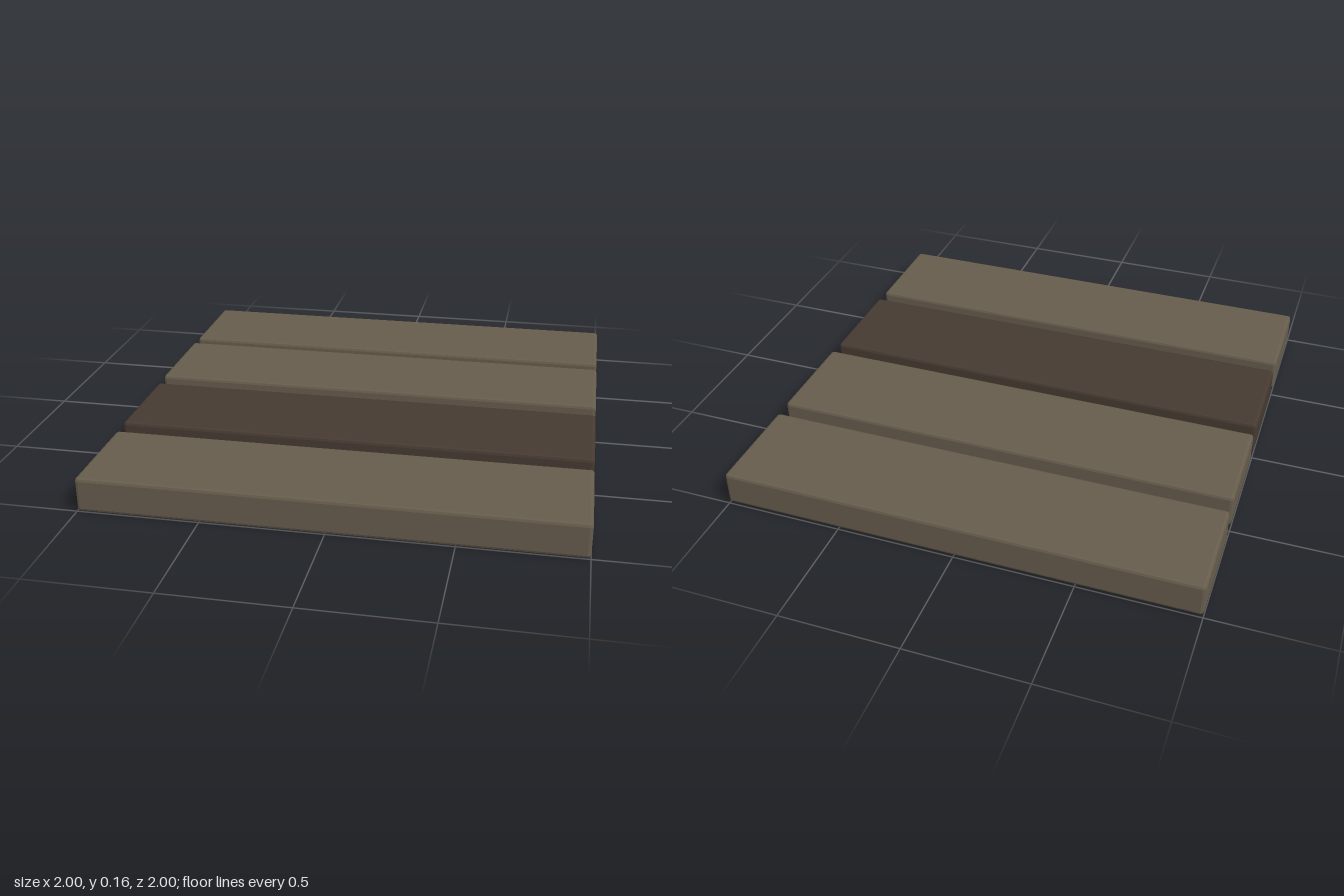
import * as THREE from 'three';
import { RoundedBoxGeometry } from 'three/addons/geometries/RoundedBoxGeometry.js';

const LENGTH = 2, HEIGHT = 0.144, WIDTH = 0.45, BEVEL = 0.013;

export function createModel() {
  const model = new THREE.Group();
  model.name = 'plankFloor';

  const lightWood = new THREE.MeshStandardMaterial({ color: 0x665c4c, flatShading: true });
  const darkWood = new THREE.MeshStandardMaterial({ color: 0x463a32, flatShading: true });

  // Four planks from back to front, each lying at a slightly different height
  const planks = [
    { z: -0.775, lift: 0.008, material: lightWood },
    { z: -0.258, lift: 0.012, material: lightWood },
    { z: 0.258, lift: 0.006, material: darkWood },
    { z: 0.775, lift: 0, material: lightWood },
  ];

  // Shared plank shape with softly bevelled edges
  const geometry = new RoundedBoxGeometry(LENGTH, HEIGHT, WIDTH, 1, BEVEL);

  planks.forEach(({ z, lift, material }, i) => {
    const plank = new THREE.Mesh(geometry, material);
    plank.name = `plank${i + 1}`;
    plank.position.set(0, HEIGHT / 2 + lift, z);
    model.add(plank);
  });

  return model;
}
